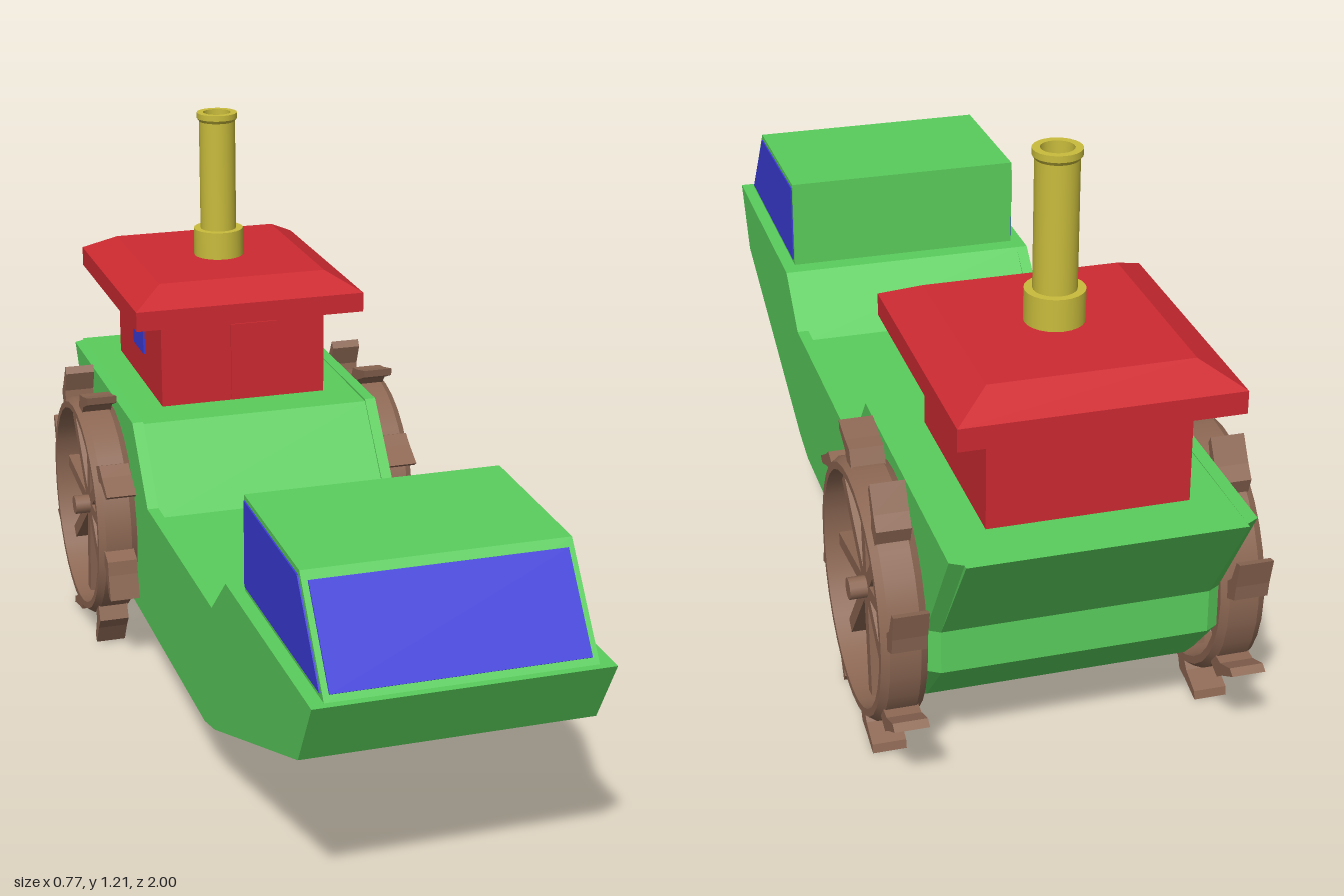
import * as THREE from 'three';

const mat = (color, extra = {}) => new THREE.MeshStandardMaterial({ color, ...extra });
const green = mat(0x5acd5c), red = mat(0xcc2a31), blue = mat(0x3b3bd8);
const brass = mat(0xc9bc3c, { side: THREE.DoubleSide }), wood = mat(0x8c6753);

// Extrudes a side outline of [z, y] points across the width from x0 to x1
function prism(points, x0, x1) {
  const shape = new THREE.Shape(points.map(([z, y]) => new THREE.Vector2(-z, y)));
  return new THREE.ExtrudeGeometry(shape, { depth: x1 - x0, bevelEnabled: false })
    .rotateY(Math.PI / 2).translate(x0, 0, 0);
}

function add(parent, name, geometry, material, x = 0, y = 0, z = 0) {
  const mesh = new THREE.Mesh(geometry, material);
  mesh.name = name;
  mesh.position.set(x, y, z);
  parent.add(mesh);
  return mesh;
}

function hull() {
  const g = new THREE.Group();
  g.name = 'hull';
  const keel = [[-0.99, 0.6], [-0.83, 0.36], [-0.83, 0.27], [-0.72, 0.15],
    [0.26, 0.15], [0.34, 0.17], [0.92, 0.4], [1, 0.54]];
  const outline = [...keel, [0.44, 0.54], [0.33, 0.44], [-0.22, 0.44], [-0.35, 0.6]];
  // The deck between the side plates sits slightly lower amidships
  const inner = [...keel, [0.44, 0.54], [0.32, 0.42], [-0.21, 0.42], [-0.35, 0.595]];
  inner[0] = [-1, 0.6];
  add(g, 'hullCore', prism(inner, -0.265, 0.265), green);
  for (const s of [-1, 1]) {
    const geo = prism(outline, s > 0 ? 0.265 : -0.29, s > 0 ? 0.29 : -0.265);
    // Bevel the outer corners of the stern
    const p = geo.attributes.position;
    for (let i = 0; i < p.count; i++) {
      if (Math.abs(p.getX(i)) > 0.28 && p.getZ(i) < -0.7) p.setZ(i, p.getZ(i) + 0.015);
    }
    geo.computeVertexNormals();
    add(g, 'hullSide', geo, green);
  }
  return g;
}

function wheelhouse() {
  const g = new THREE.Group();
  g.name = 'bowCabin';
  add(g, 'bowCabinBody',
    prism([[0.985, 0.538], [0.838, 0.732], [0.48, 0.74], [0.48, 0.538]], -0.262, 0.262), green);
  add(g, 'windshield',
    prism([[0.978, 0.553], [0.853, 0.718], [0.848, 0.714], [0.972, 0.549]], -0.25, 0.25), blue);
  const pane = [[0.965, 0.551], [0.832, 0.721], [0.487, 0.73], [0.487, 0.551]];
  add(g, 'sideWindow', prism(pane, 0.26, 0.265), blue);
  add(g, 'sideWindow', prism(pane, -0.265, -0.26), blue);
  return g;
}

function sternCabin() {
  const g = new THREE.Group();
  g.name = 'sternCabin';
  g.position.z = -0.665;
  add(g, 'cabinWalls', new THREE.BoxGeometry(0.39, 0.225, 0.43), red, 0, 0.7, 0);
  add(g, 'cabinDoor', new THREE.BoxGeometry(0.11, 0.18, 0.01), red, 0.025, 0.69, 0.214);
  add(g, 'cabinWindow', new THREE.BoxGeometry(0.01, 0.075, 0.1), blue, -0.194, 0.71, 0);
  add(g, 'roofBrim', new THREE.BoxGeometry(0.536, 0.045, 0.575), red, 0, 0.8275, 0);
  // Hipped roof: a box whose top is drawn in
  const roof = new THREE.BoxGeometry(0.536, 0.041, 0.575);
  const p = roof.attributes.position;
  for (let i = 0; i < p.count; i++) {
    if (p.getY(i) > 0) p.setXYZ(i, p.getX(i) * 0.73, p.getY(i), p.getZ(i) * 0.75);
  }
  roof.computeVertexNormals();
  add(g, 'roofTop', roof, red, 0, 0.8705, 0);
  return g;
}

// Hollow funnel with a wide collar and a small lip
function funnel() {
  const profile = [[0.058, 0.885], [0.058, 0.955], [0.042, 0.955], [0.042, 1.21], [0.047, 1.217],
    [0.047, 1.23], [0.032, 1.23], [0.032, 0.9], [0, 0.9]];
  const geo = [];
  const g = new THREE.Group();
  g.name = 'funnel';
  for (let i = 0; i + 1 < profile.length; i++) {
    geo.push(new THREE.LatheGeometry(
      [profile[i], profile[i + 1]].map(([r, y]) => new THREE.Vector2(r, y)), 24));
  }
  geo.forEach((band) => add(g, 'funnelBand', band, brass, 0, 0, -0.658));
  return g;
}

// Wheel symmetric about its own x = 0 plane
function paddleWheel() {
  const g = new THREE.Group();
  g.name = 'paddleWheel';
  // Rim with chamfered outer edges, each band kept crisp
  const rim = [[0.234, -0.045], [0.249, -0.045], [0.259, -0.03], [0.259, 0.03],
    [0.249, 0.045], [0.234, 0.045], [0.234, -0.045]];
  for (let i = 0; i + 1 < rim.length; i++) {
    const band = new THREE.LatheGeometry(
      [rim[i], rim[i + 1]].map(([r, y]) => new THREE.Vector2(r, y)), 32).rotateZ(Math.PI / 2);
    add(g, 'wheelRim', band, wood);
  }
  add(g, 'wheelHub', new THREE.CylinderGeometry(0.022, 0.022, 0.1, 12).rotateZ(Math.PI / 2), wood);

  // Hooked paddle as polar points [radius, degrees]
  const hook = [[0.25, -3], [0.29, 0], [0.3, 6], [0.33, 15], [0.312, 15.5], [0.278, 8], [0.25, 5]]
    .map(([r, d]) => {
      const a = THREE.MathUtils.degToRad(d);
      return [-r * Math.cos(a), r * Math.sin(a)];
    });
  const paddle = prism(hook, -0.034, 0.034);
  const spoke = new THREE.BoxGeometry(0.03, 0.028, 0.24).translate(0, 0, -0.12);
  for (let i = 0; i < 8; i++) {
    const turn = THREE.MathUtils.degToRad(6.5 + i * 45);
    add(g, 'spoke', spoke, wood).rotation.x = turn;
    add(g, 'paddle', paddle, wood).rotation.x = turn;
  }
  return g;
}

export function createModel() {
  const boat = new THREE.Group();
  boat.name = 'paddleBoat';
  boat.add(hull(), wheelhouse(), sternCabin(), funnel());
  for (const s of [-1, 1]) {
    const wheel = paddleWheel();
    wheel.position.set(s * 0.335, 0.323, -0.58);
    boat.add(wheel);
  }
  return boat;
}
